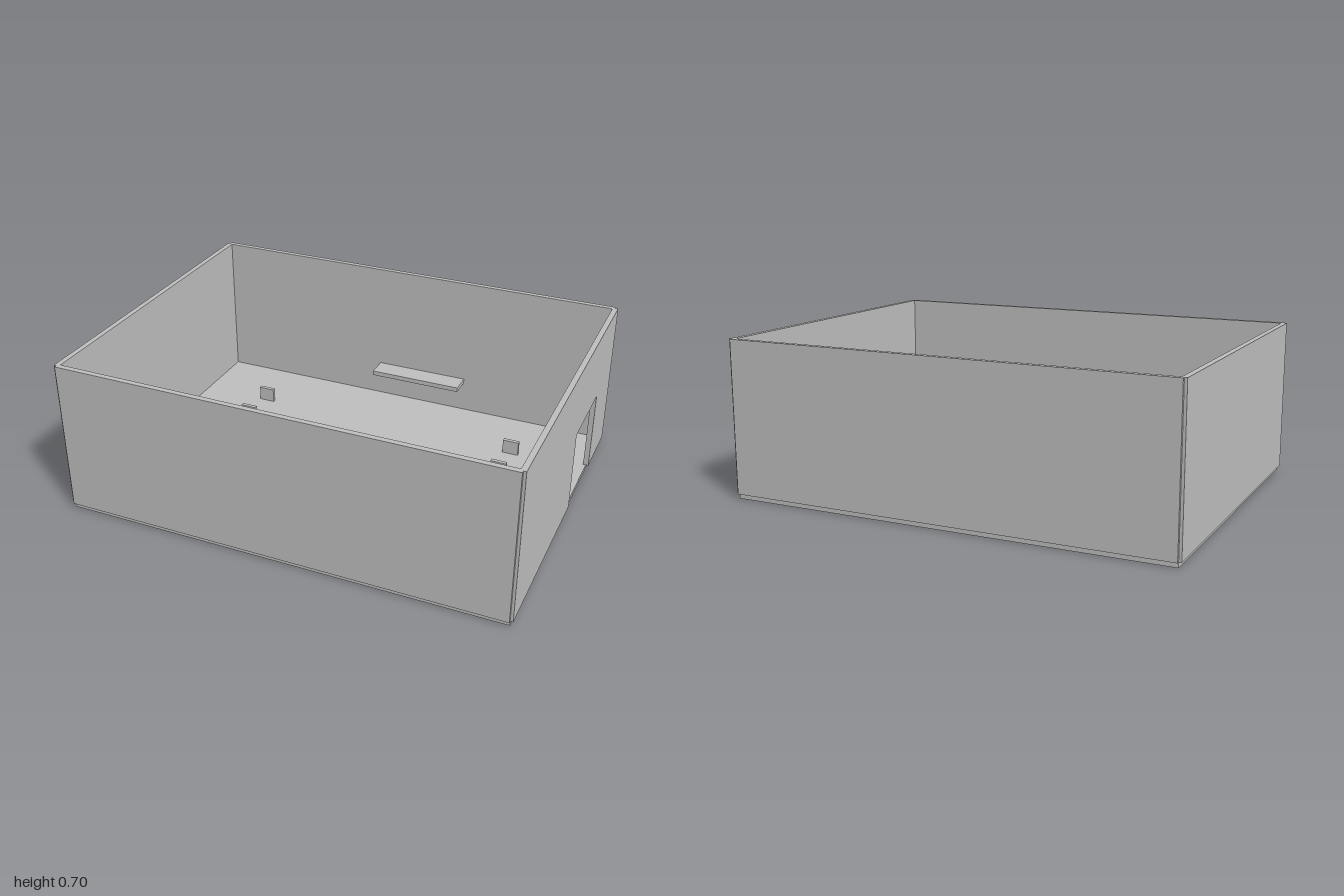
import * as THREE from 'three';

export function createModel() {
  const room = new THREE.Group();
  room.name = 'room';

  const grey = new THREE.MeshStandardMaterial({ color: 0xc0c0c0 });
  grey.name = 'light grey';

  const add = (name, geometry) => {
    const mesh = new THREE.Mesh(geometry, grey);
    mesh.name = name;
    room.add(mesh);
    return mesh;
  };

  // Box given by its lower and upper limits on each axis
  const box = (name, [x0, x1], [y0, y1], [z0, z1]) => {
    const mesh = add(name, new THREE.BoxGeometry(x1 - x0, y1 - y0, z1 - z0));
    mesh.position.set((x0 + x1) / 2, (y0 + y1) / 2, (z0 + z1) / 2);
    return mesh;
  };

  const halfX = 0.988, halfZ = 0.739; // floor half sizes
  const floorY = 0.022, topY = 0.697, thick = 0.024;
  const wallY = [floorY, topY];

  // Floor slab
  box('floor', [-halfX, halfX], [0, floorY], [-halfZ, halfZ]);

  // Walls centred on the floor's edges, leaving notched corners
  const t = thick / 2;
  box('frontWall', [-halfX, halfX], wallY, [halfZ - t, halfZ + t]);
  box('backWall', [-halfX, halfX], wallY, [-halfZ - t, -halfZ + t]);
  box('rightWall', [-halfX - t, -halfX + t], wallY, [-halfZ, halfZ]);

  // Wall with the doorway, drawn in (-z, y) and turned to face +x
  const doorStart = 0.095, doorEnd = 0.459, doorTop = 0.386;
  const outline = new THREE.Shape([
    [-halfZ, floorY], [doorStart, floorY], [doorStart, doorTop], [doorEnd, doorTop],
    [doorEnd, floorY], [halfZ, floorY], [halfZ, topY], [-halfZ, topY],
  ].map(([u, v]) => new THREE.Vector2(u, v)));
  const doorWall = add('leftWallWithDoorway',
    new THREE.ExtrudeGeometry(outline, { depth: thick, bevelEnabled: false }));
  doorWall.rotation.y = Math.PI / 2;
  doorWall.position.x = halfX - t;

  // Solid counter and floating shelf on the back wall
  box('counter', [-0.246, 0.246], [floorY, 0.183], [0.136, 0.281]);
  box('shelf', [-0.147, 0.297], [0.168, 0.19], [-0.727, -0.627]);

  // Two mirrored pairs of low upright plates
  for (const side of [-1, 1]) {
    for (const z of [-0.226, -0.4215]) {
      const x = side * 0.639;
      box('uprightPlate', [x - 0.037, x + 0.037], [floorY, 0.088], [z - 0.009, z + 0.009]);
    }
  }

  return room;
}
